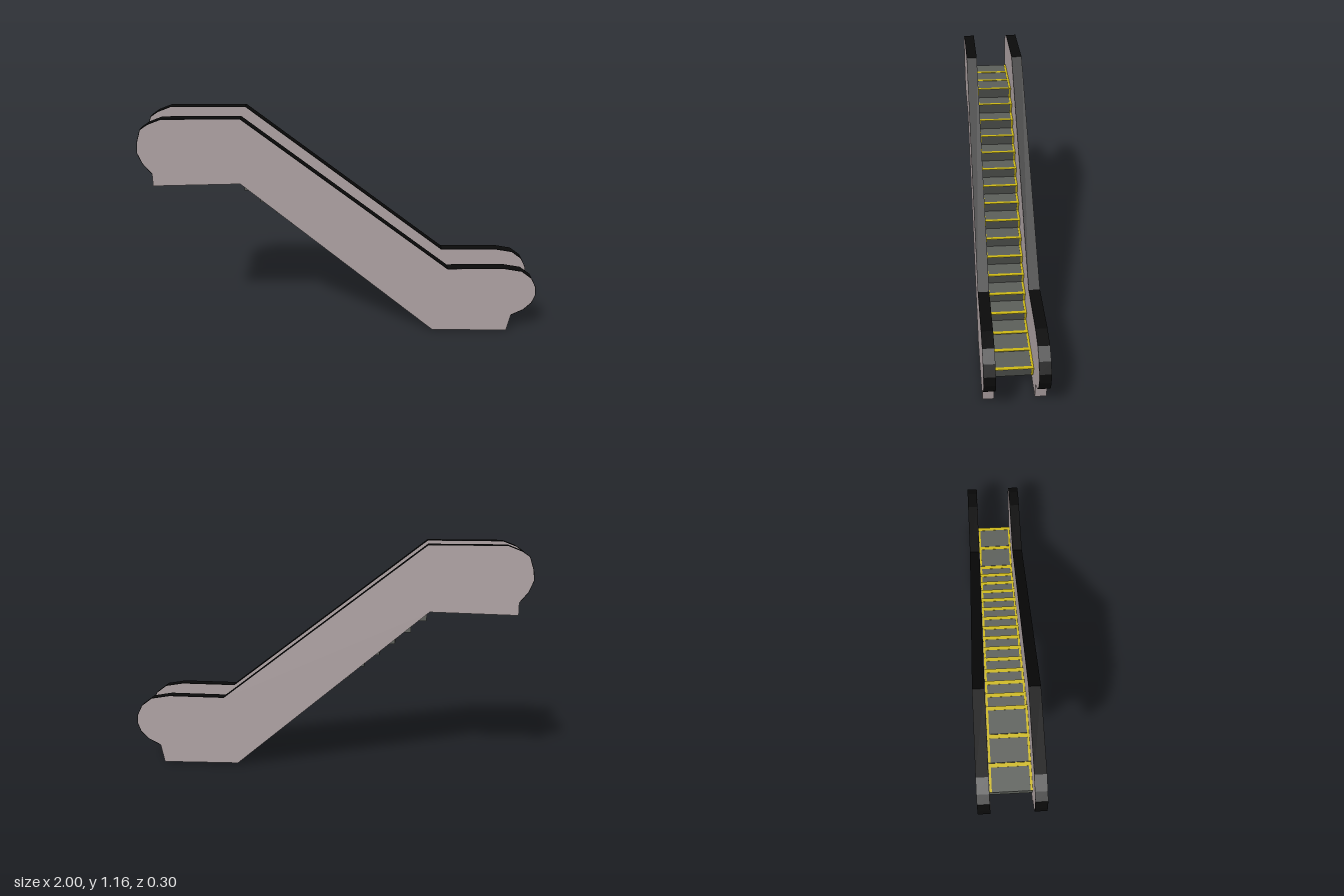
import * as THREE from 'three';

const mat = (color) => new THREE.MeshStandardMaterial({ color, flatShading: true, side: THREE.DoubleSide });
const panelMat = mat(0xb0a4a5), railMat = mat(0x0a0a0a), stepMat = mat(0x5c5f5a), trimMat = mat(0xcdb814);

// Side outline, counter-clockwise from the upper foot
const outline = [
  [-0.935, 0.83], [-0.51, 0.838], [0.465, 0.013], [0.86, 0.004], [0.88, 0.1],
  [0.94, 0.13], [0.98, 0.17], [0.997, 0.215], [0.993, 0.26], [0.968, 0.31], [0.915, 0.35], [0.82, 0.367],
  [0.53, 0.367], [-0.495, 1.162], [-0.87, 1.162], [-0.935, 1.137], [-0.972, 1.112], [-0.992, 1.05],
  [-0.997, 1.0], [-0.975, 0.945], [-0.935, 0.895],
].map(([x, y]) => new THREE.Vector2(x, y));
const RAIL_START = 4;

const INNER = 0.094, OUTER = 0.148;
const DEPTH = 0.126, HEIGHT = 0.065, SETBACK = 0.03;

// Extrudes a side profile between two z positions
function slab(name, points, z0, z1, material) {
  const geo = new THREE.ExtrudeGeometry(new THREE.Shape(points), { depth: z1 - z0, bevelEnabled: false });
  geo.translate(0, 0, z0);
  const mesh = new THREE.Mesh(geo, material);
  mesh.name = name;
  return mesh;
}

// Closed band lying on the outside of a path
function band(path, thickness) {
  const outer = path.map((p, i) => {
    const a = path[Math.max(i - 1, 0)], b = path[Math.min(i + 1, path.length - 1)];
    const t = b.clone().sub(a).normalize();
    return new THREE.Vector2(p.x + t.y * thickness, p.y - t.x * thickness);
  });
  return [...outer, ...path.slice().reverse()];
}

// One step: tread on top, riser sloping back underneath, yellow edging
function makeStep(x, y) {
  const step = new THREE.Group();
  step.name = 'step';
  const v = (a, b) => new THREE.Vector2(a, b);
  const body = [v(-DEPTH, -HEIGHT), v(-SETBACK, -HEIGHT), v(0, 0), v(-DEPTH, 0)];
  step.add(slab('stepBody', body, -INNER, INNER, stepMat));
  const edge = band([v(-SETBACK, -HEIGHT), v(0, 0), v(-DEPTH, 0)], 0.0015);
  for (const z of [-INNER, INNER - 0.01]) step.add(slab('sideEdging', edge, z, z + 0.01, trimMat));
  const nose = new THREE.Mesh(new THREE.BoxGeometry(0.018, 0.0015, 2 * INNER - 0.02), trimMat);
  nose.name = 'frontEdging';
  nose.position.set(-0.009, 0.00075, 0);
  step.add(nose);
  step.position.set(x, y, 0);
  return step;
}

export function createModel() {
  const model = new THREE.Group();
  model.name = 'escalator';

  // Balustrades with handrails
  const railProfile = band(outline.slice(RAIL_START), 0.003);
  for (const [side, z0, z1] of [['left', -OUTER, -INNER], ['right', INNER, OUTER]]) {
    model.add(slab(side + 'Balustrade', outline, z0, z1, panelMat));
    model.add(slab(side + 'Handrail', railProfile, z0, z1, railMat));
  }

  // Steps: two level ones at the top, fifteen on the slope, two level ones at the bottom
  const steps = new THREE.Group();
  steps.name = 'steps';
  const topX = -0.525, topY = 0.969, run = 0.0768, drop = 0.0603, last = 14;
  for (let i = -2; i <= last + 2; i++) {
    const k = Math.min(Math.max(i, 0), last);
    steps.add(makeStep(topX + k * run + (i - k) * (DEPTH + 0.002), topY - k * drop));
  }
  model.add(steps);
  return model;
}
